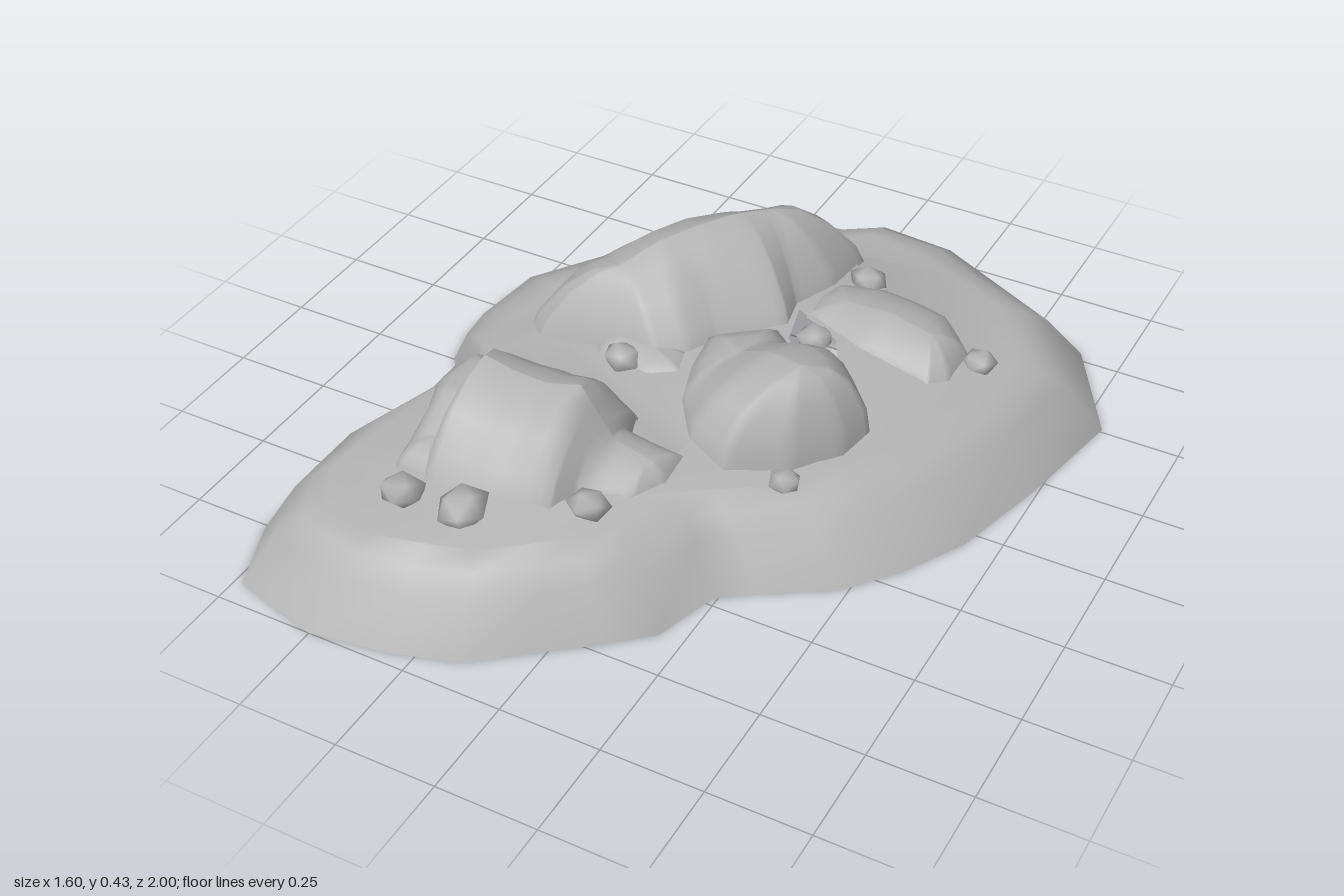
import * as THREE from 'three';

const stone = new THREE.MeshStandardMaterial({ color: 0xb4b4b4, side: THREE.DoubleSide });
stone.name = 'grey stone';

// Nearest point [x, y, z] to (x, z) on a ridge line of [x, y, z] points
function nearest(ridge, x, z) {
  let best = null, bestD = Infinity;
  for (let i = 0; i < ridge.length - 1; i++) {
    const a = ridge[i], b = ridge[i + 1];
    const dx = b[0] - a[0], dz = b[2] - a[2];
    const t = THREE.MathUtils.clamp(((x - a[0]) * dx + (z - a[2]) * dz) / (dx * dx + dz * dz), 0, 1);
    const p = a.map((v, k) => v + (b[k] - v) * t);
    const d = Math.hypot(x - p[0], z - p[2]);
    if (d < bestD) { bestD = d; best = p; }
  }
  return best;
}

const spine = [[0.1, 0.235, -0.3], [-0.3, 0.235, 0.45]];
function ground(x, z) {
  const p = nearest(spine, x, z);
  return 0.235 - 0.28 * ((x - p[0]) ** 2 + (z - p[2]) ** 2);
}

function toGeometry(points, index) {
  const g = new THREE.BufferGeometry();
  g.setAttribute('position', new THREE.Float32BufferAttribute(points.flat(), 3));
  g.setIndex(index);
  g.computeVertexNormals();
  return g;
}

function ringFaces(rings, n) {
  const index = [];
  for (let r = 0; r < rings - 1; r++) {
    for (let i = 0; i < n; i++) {
      const a = r * n + i, b = r * n + (i + 1) % n;
      index.push(a, a + n, b, b, a + n, b + n);
    }
  }
  return index;
}

// Footprints as [x, z], clockwise from above
const moundOutline = [
  [0.01, -1], [0.24, -0.98], [0.4, -0.9], [0.64, -0.78], [0.8, -0.51], [0.74, -0.21], [0.67, 0.04],
  [0.58, 0.2], [0.48, 0.32], [0.32, 0.42], [0.24, 0.48], [0.19, 0.64], [0.1, 0.72], [0, 0.8],
  [-0.15, 0.92], [-0.31, 0.97], [-0.5, 1], [-0.73, 0.94], [-0.8, 0.76], [-0.8, 0.5], [-0.71, 0.2],
  [-0.71, 0.07], [-0.77, 0], [-0.8, -0.11], [-0.79, -0.31], [-0.67, -0.48], [-0.55, -0.64],
  [-0.34, -0.72], [-0.19, -0.87]];
const longOutline = [
  [0.01, -0.67], [0.085, -0.635], [0.085, -0.465], [0.04, -0.34], [0.06, -0.25], [-0.06, -0.12],
  [-0.1, -0.04], [-0.16, 0.01], [-0.3, 0.02], [-0.48, 0.035], [-0.54, -0.02], [-0.56, -0.18],
  [-0.41, -0.41], [-0.24, -0.46], [-0.09, -0.63]];
const lowOutline = [
  [0.07, -0.4], [0.09, -0.48], [0.21, -0.52], [0.38, -0.5], [0.48, -0.4], [0.48, -0.28],
  [0.44, -0.23], [0.24, -0.25], [0.08, -0.31]];
const roundOutline = [
  [-0.08, -0.09], [0.06, -0.2], [0.14, -0.14], [0.27, -0.14], [0.39, -0.02], [0.37, 0.08],
  [0.29, 0.2], [0.16, 0.285], [0.05, 0.24], [-0.03, 0.13], [-0.06, 0.04]];
const frontOutline = [
  [-0.41, 0.24], [-0.26, 0.21], [-0.09, 0.23], [-0.07, 0.29], [0.07, 0.29], [0.075, 0.39],
  [0.03, 0.47], [-0.08, 0.53], [-0.11, 0.6], [-0.25, 0.635], [-0.41, 0.65], [-0.41, 0.45]];
const ledgeOutline = [
  [-0.53, 0.25], [-0.38, 0.24], [-0.36, 0.45], [-0.38, 0.64], [-0.5, 0.63], [-0.53, 0.45], [-0.56, 0.38]];
const slabOutline = [[-0.36, -0.02], [-0.1, -0.04], [-0.08, 0.04], [-0.16, 0.07], [-0.3, 0.05]];

// Footprint drawn in towards its middle, for the opening below a boulder
function shrink(outline, k = 0.91) {
  const c = [0, 1].map((a) => outline.reduce((s, p) => s + p[a], 0) / outline.length);
  return outline.map((p) => p.map((v, a) => c[a] + (v - c[a]) * k));
}

// Hollow mound: sloping rim rings, then a plateau with openings
function moundGeometry() {
  const n = moundOutline.length, points = [];
  for (const [s, y] of [[0, 0], [0.14, 0.122], [0.23, 0.16], [0.31, null]]) {
    for (const [x, z] of moundOutline) {
      const p = nearest(spine, x, z);
      const px = x + (p[0] - x) * s, pz = z + (p[2] - z) * s;
      points.push([px, y ?? THREE.MathUtils.clamp(ground(px, pz), 0.175, 0.195), pz]);
    }
  }
  const index = ringFaces(4, n);
  const gap = [[0.055, -0.32], [0.19, -0.25], [0.24, -0.155], [0.14, -0.155], [0.085, -0.2]];
  const holes = [longOutline, lowOutline, roundOutline, frontOutline].map((o) => shrink(o)).concat([gap]);
  const base = 3 * n, v2 = (p) => new THREE.Vector2(p[0], p[1]);
  const contour = points.slice(base).map((p) => new THREE.Vector2(p[0], p[2]));
  const tris = THREE.ShapeUtils.triangulateShape(contour, holes.map((h) => h.map(v2)));
  for (const [x, z] of holes.flat()) points.push([x, ground(x, z), z]);
  for (const [i, j, k] of tris) {
    const [a, b, c] = [i, j, k].map((t) => points[base + t]);
    const cross = (b[0] - a[0]) * (c[2] - a[2]) - (b[2] - a[2]) * (c[0] - a[0]);
    index.push(base + i, base + (cross < 0 ? j : k), base + (cross < 0 ? k : j));
  }
  return toGeometry(points, index);
}

// Straight ridge in plan between two [x, z] ends, with evenly spaced heights
function ridgeLine([x0, z0], [x1, z1], heights) {
  return heights.map((y, i) => {
    const t = i / (heights.length - 1);
    return [x0 + (x1 - x0) * t, y, z0 + (z1 - z0) * t];
  });
}

// Hollow boulder: its finely divided footprint rises in rings to a ridge
const dome = [[0, 0], [0.13, 0.35], [0.4, 0.7], [0.72, 0.93], [1, 1]];
const slope = [[0, 0], [0.1, 0.26], [0.4, 0.66], [0.72, 0.92], [1, 1]];
const steep = [[0, 0], [0.06, 0.35], [0.3, 0.72], [0.6, 0.93], [1, 1]];
function boulderGeometry(outline, ridge, profile) {
  const parts = 6;
  const fine = outline.flatMap((p, i) => {
    const q = outline[(i + 1) % outline.length];
    return Array.from({ length: parts }, (_, k) => p.map((v, a) => v + (q[a] - v) * k / parts));
  });
  const points = [];
  for (const [s, f] of profile) {
    for (const [x, z] of fine) {
      const p = nearest(ridge, x, z), y0 = ground(x, z) - 0.01;
      points.push([x + (p[0] - x) * s, y0 + (p[1] - y0) * f, z + (p[2] - z) * s]);
    }
  }
  return toGeometry(points, ringFaces(profile.length, fine.length));
}

// Small uneven stone with smoothed shading
function pebbleGeometry(r, seed) {
  const src = new THREE.IcosahedronGeometry(1, 0).getAttribute('position');
  const points = [], index = [], seen = new Map();
  for (let i = 0; i < src.count; i++) {
    const p = [src.getX(i), src.getY(i), src.getZ(i)];
    const key = p.map((v) => Math.round(v * 100)).join();
    if (!seen.has(key)) {
      const k = r * (1.04 + 0.14 * Math.sin(seen.size * 6.5 + seed * 2.3));
      seen.set(key, points.length);
      points.push([p[0] * k, p[1] * k * 0.68, p[2] * k]);
    }
    index.push(seen.get(key));
  }
  return toGeometry(points, index);
}

export function createModel() {
  const model = new THREE.Group();
  model.name = 'rockyMound';
  const add = (name, geometry) => {
    const mesh = new THREE.Mesh(geometry, stone);
    mesh.name = name;
    model.add(mesh);
    return mesh;
  };
  add('mound', moundGeometry());

  // Boulders: name, footprint, ridge ends and heights, side profile
  const boulders = [
    ['longBoulder', longOutline, [-0.32, -0.09], [-0.09, -0.45], [0.385, 0.42, 0.43, 0.43, 0.41], slope],
    ['lowBoulder', lowOutline, [0.17, -0.37], [0.4, -0.34], [0.265, 0.28, 0.265], dome],
    ['roundBoulder', roundOutline, [0.06, 0], [0.25, 0.07], [0.32, 0.375, 0.393], steep],
    ['frontBoulder', frontOutline, [-0.39, 0.4], [0.02, 0.38], [0.415, 0.393, 0.387, 0.41, 0.28, 0.255], dome],
    ['frontLedge', ledgeOutline, [-0.46, 0.32], [-0.44, 0.55], [0.32, 0.32, 0.265], steep],
    ['lowSlab', slabOutline, [-0.26, 0], [-0.18, 0], [0.255, 0.25], dome]];
  for (const [name, outline, start, end, heights, profile] of boulders) {
    add(name, boulderGeometry(outline, ridgeLine(start, end, heights), profile));
  }

  // Pebbles as [x, z, radius]
  const pebbles = [
    [-0.11, -0.64, 0.038], [-0.34, -0.48, 0.047], [0.15, -0.53, 0.052], [0.51, -0.385, 0.041],
    [0.145, -0.225, 0.05], [-0.235, 0.05, 0.05], [0.295, 0.235, 0.036], [-0.425, 0.205, 0.038],
    [-0.04, 0.54, 0.047], [-0.43, 0.7, 0.054], [-0.28, 0.69, 0.067]];
  pebbles.forEach(([x, z, r], i) => {
    const pebble = add('pebble', pebbleGeometry(r, i));
    pebble.position.set(x, ground(x, z) + 0.003, z);
    pebble.rotation.set(0.3 * Math.sin(i * 2), i * 1.3, 0.25 * Math.cos(i * 3));
  });
  return model;
}
